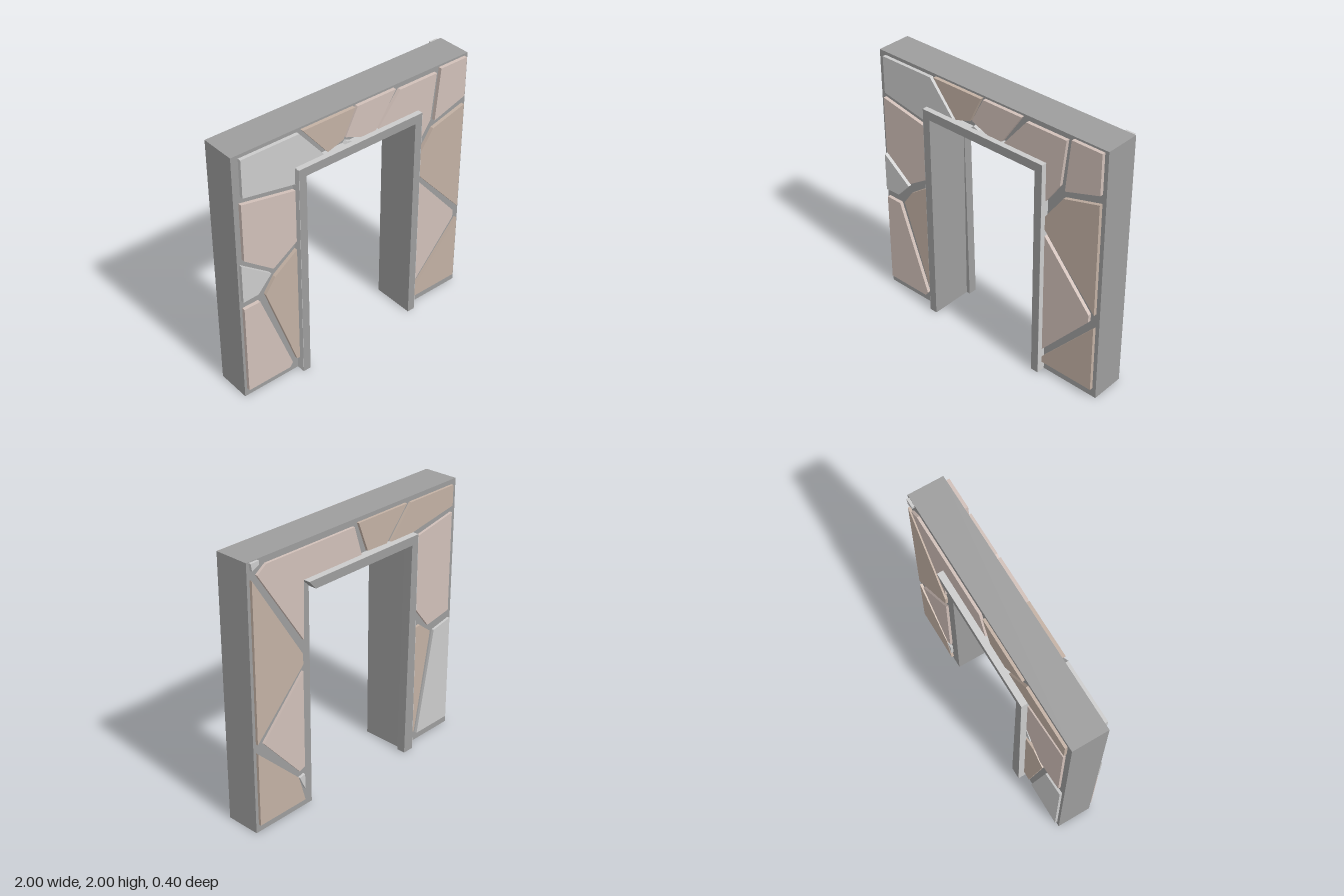
import * as THREE from 'three';

const mat = (color) => new THREE.MeshStandardMaterial({ color, flatShading: true });
const mortar = mat(0x9d9d9d);
const grey = mat(0xcccccc);
const pink = mat(0xd1c0b9);
const brown = mat(0xc3b1a4);

const WALL = 0.133; // half thickness of the wall
const TRIM = 0.2; // how far the trim reaches from the middle
const IN = 0.47, OUT = 0.53, LOW = 1.67, HIGH = 1.735; // opening and trim outline

// Flat polygon given in x, y and extruded from z0 to z1
function slab(name, points, z0, z1, material) {
  const shape = new THREE.Shape(points.map(([x, y]) => new THREE.Vector2(x, y)));
  const geometry = new THREE.ExtrudeGeometry(shape, { depth: z1 - z0, bevelEnabled: false });
  geometry.translate(0, 0, z0);
  const mesh = new THREE.Mesh(geometry, material);
  mesh.name = name;
  return mesh;
}

// Stones on the front face
const frontStones = [
  [grey, [[-.945, 1.975], [-.49, 1.975], [-.29, 1.735], [-.53, 1.735], [-.53, 1.61], [-.945, 1.69]]],
  [brown, [[-.46, 1.985], [-.03, 1.985], [-.13, 1.78], [-.26, 1.74]]],
  [pink, [[-.01, 1.985], [.32, 1.985], [.15, 1.735], [.03, 1.735], [-.11, 1.79]]],
  [grey, [[-.12, 1.735], [-.1, 1.755], [-.05, 1.735]]],
  [pink, [[.36, 1.965], [.69, 1.965], [.648, 1.61], [.53, 1.44], [.53, 1.735], [.17, 1.735]]],
  [pink, [[.73, 1.985], [.97, 1.985], [.97, 1.68], [.69, 1.59]]],
  [brown, [[.97, 1.61], [.97, .73], [.53, 1.22], [.53, 1.32], [.68, 1.53]]],
  [pink, [[.53, 1.17], [.925, .71], [.925, .65], [.53, .19]]],
  [brown, [[.97, .62], [.97, .075], [.53, .075], [.53, .12]]],
  [pink, [[-.96, 1.645], [-.53, 1.56], [-.53, 1.15], [-.73, 1.02], [-.96, 1.2]]],
  [grey, [[-.985, 1.17], [-.75, .99], [-.86, .87], [-.985, .865]]],
  [brown, [[-.53, 1.08], [-.72, .945], [-.8, .83], [-.555, .11], [-.53, .11]]],
  [pink, [[-.98, .8], [-.85, .8], [-.595, .1], [-.62, .065], [-.98, .065]]],
];

// Stones on the back face
const backStones = [
  [grey, [[.98, 1.995], [.91, 1.995], [.91, 1.97], [.97, 1.94]]],
  [brown, [[.976, 1.88], [.55, 1.21], [.55, 1.13], [.976, .7]]],
  [pink, [[.93, 1.9], [.85, 1.955], [.06, 1.955], [-.01, 1.735], [.53, 1.735], [.54, 1.31]]],
  [brown, [[.02, 1.97], [-.46, 1.97], [-.257, 1.74], [-.07, 1.745]]],
  [brown, [[-.5, 1.965], [-.955, 1.965], [-.955, 1.81], [-.52, 1.735], [-.3, 1.735]]],
  [pink, [[-.53, 1.68], [-.95, 1.76], [-.95, .99], [-.72, .95], [-.53, 1.19]]],
  [grey, [[-.53, 1.16], [-.585, 1.05], [-.53, 1.03]]],
  [brown, [[-.53, .97], [-.636, .98], [-.75, .89], [-.6, .095], [-.53, .1]]],
  [grey, [[-.795, .88], [-.975, .915], [-.975, .065], [-.635, .065]]],
  [pink, [[.92, .685], [.55, 1.08], [.55, .335], [.6, .315]]],
  [brown, [[.976, .63], [.61, .27], [.55, .06], [.976, .06]]],
  [grey, [[.6, .26], [.55, .27], [.55, .15]]],
];

export function createModel() {
  const model = new THREE.Group();
  model.name = 'stoneDoorway';

  // Wall around the opening
  model.add(slab('wall', [[-1, 0], [-IN, 0], [-IN, LOW], [IN, LOW], [IN, 0], [1, 0], [1, 2], [-1, 2]],
    -WALL, WALL, mortar));

  // Inlaid stones
  const stones = new THREE.Group();
  stones.name = 'stones';
  for (const [material, points] of frontStones) stones.add(slab('frontStone', points, WALL - 0.01, 0.16, material));
  for (const [material, points] of backStones) stones.add(slab('backStone', points, -0.153, 0.01 - WALL, material));
  model.add(stones);

  // Mitred door trim; foot is the x of the post's inner edge on the ground
  const trim = new THREE.Group();
  trim.name = 'doorTrim';
  const post = (side, foot) => [[side * OUT, 0], [side * foot, 0], [side * IN, LOW], [side * OUT, HIGH]];
  const lintel = [[-IN, LOW], [IN, LOW], [OUT, HIGH], [-OUT, HIGH]];
  trim.add(slab('frontLintel', lintel, WALL, TRIM, mortar));
  trim.add(slab('frontLeftPost', post(1, IN), WALL, TRIM, mortar));
  trim.add(slab('frontRightPost', post(-1, IN), WALL, TRIM, mortar));
  trim.add(slab('backLintel', lintel, -TRIM, -WALL, mortar));
  // The back has only one post, splayed inwards at its foot
  trim.add(slab('backRightPost', post(-1, 0.44), -TRIM, -WALL, mortar));

  // Pale outer faces of the trim
  const edge = (w, h, x, y, side) => {
    const mesh = new THREE.Mesh(new THREE.BoxGeometry(w, h, TRIM - WALL), grey);
    mesh.name = 'trimEdge';
    mesh.position.set(x, y, side * (TRIM + WALL) / 2);
    trim.add(mesh);
  };
  for (const side of [1, -1]) {
    edge(2 * OUT, 0.002, 0, HIGH + 0.001, side);
    edge(0.002, HIGH, -OUT - 0.001, HIGH / 2, side);
  }
  edge(0.002, HIGH, OUT + 0.001, HIGH / 2, 1);
  model.add(trim);

  return model;
}
